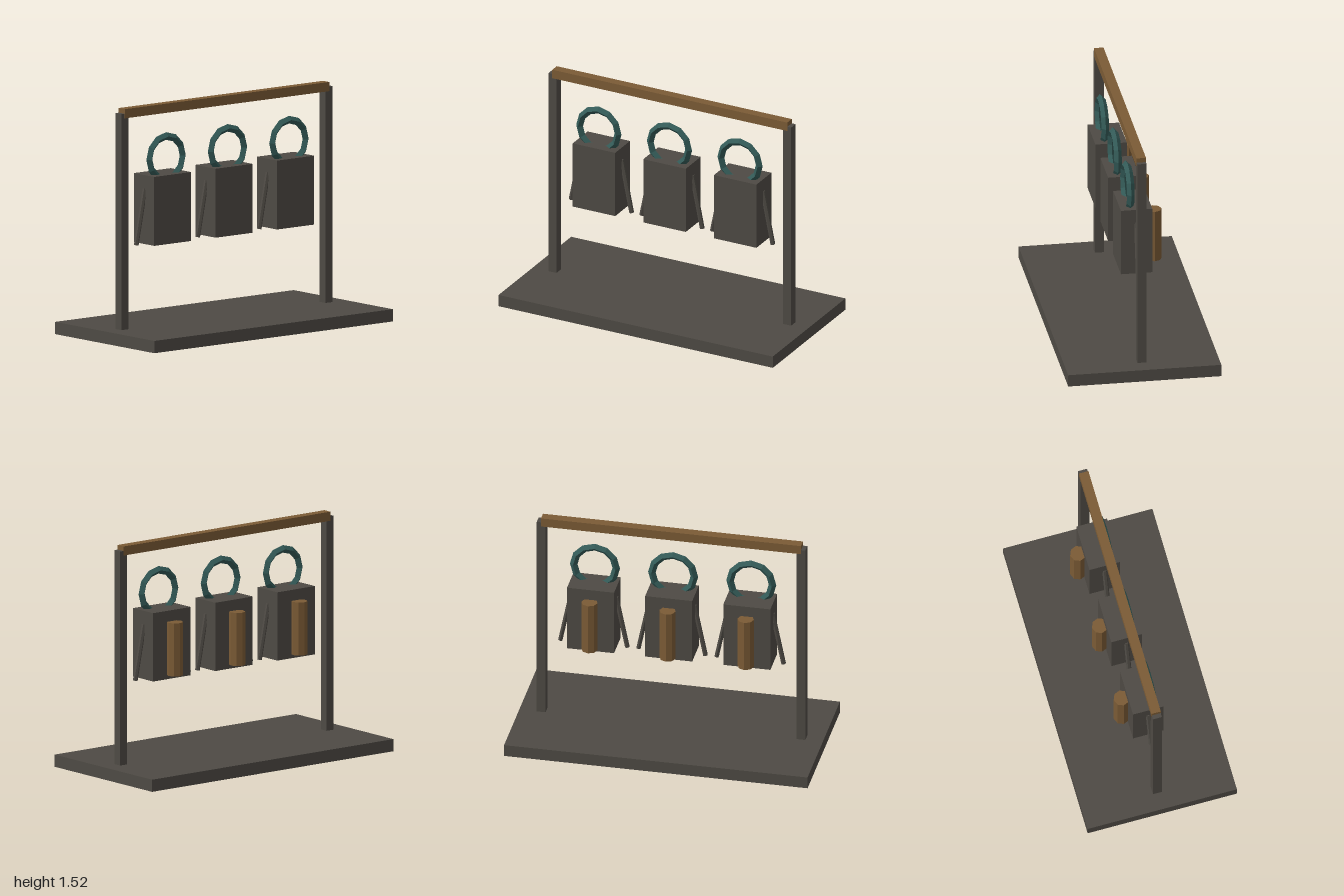
import * as THREE from 'three';

export function createModel() {
  const model = new THREE.Group();
  model.name = 'hangingRack';

  const mat = (name, color) => {
    const m = new THREE.MeshStandardMaterial({ color, flatShading: true });
    m.name = name;
    return m;
  };
  const charcoal = mat('charcoal', 0x4e4a44);
  const wood = mat('wood', 0x7b5b35);
  const teal = mat('teal', 0x335a57);

  const add = (parent, name, geometry, material, x, y, z) => {
    const mesh = new THREE.Mesh(geometry, material);
    mesh.name = name;
    mesh.position.set(x, y, z);
    parent.add(mesh);
    return mesh;
  };

  // Base, posts and top rail
  add(model, 'base', new THREE.BoxGeometry(2, 0.08, 1), charcoal, 0, 0.04, 0);
  for (const side of [-1, 1]) {
    const name = side > 0 ? 'leftPost' : 'rightPost';
    add(model, name, new THREE.BoxGeometry(0.058, 1.41, 0.06), charcoal, side * 0.856, 0.785, 0);
  }
  add(model, 'topRail', new THREE.BoxGeometry(1.714, 0.06, 0.062), wood, 0, 1.49, 0);

  // Shared geometries of the hanging packs
  const bodyGeo = new THREE.BoxGeometry(0.31, 0.45, 0.205);
  const ringGeo = new THREE.TorusGeometry(0.14, 0.025, 4, 12);
  const strapGeo = new THREE.CylinderGeometry(0.0155, 0.0155, 0.37, 6);
  const rollGeo = new THREE.CylinderGeometry(0.053, 0.053, 0.35, 8);

  // Three packs, each with a ring handle, side straps and a roll on the back
  for (const x of [-0.515, 0, 0.515]) {
    const pack = new THREE.Group();
    pack.name = 'pack';
    pack.position.x = x;
    add(pack, 'body', bodyGeo, charcoal, 0, 0.842, 0);
    add(pack, 'ringHandle', ringGeo, teal, 0, 1.17, 0.035);
    for (const side of [-1, 1]) {
      const name = side > 0 ? 'leftStrap' : 'rightStrap';
      add(pack, name, strapGeo, charcoal, side * 0.184, 0.796, 0).rotation.z = side * 0.2;
    }
    add(pack, 'backRoll', rollGeo, wood, 0, 0.82, -0.135);
    model.add(pack);
  }
  return model;
}
